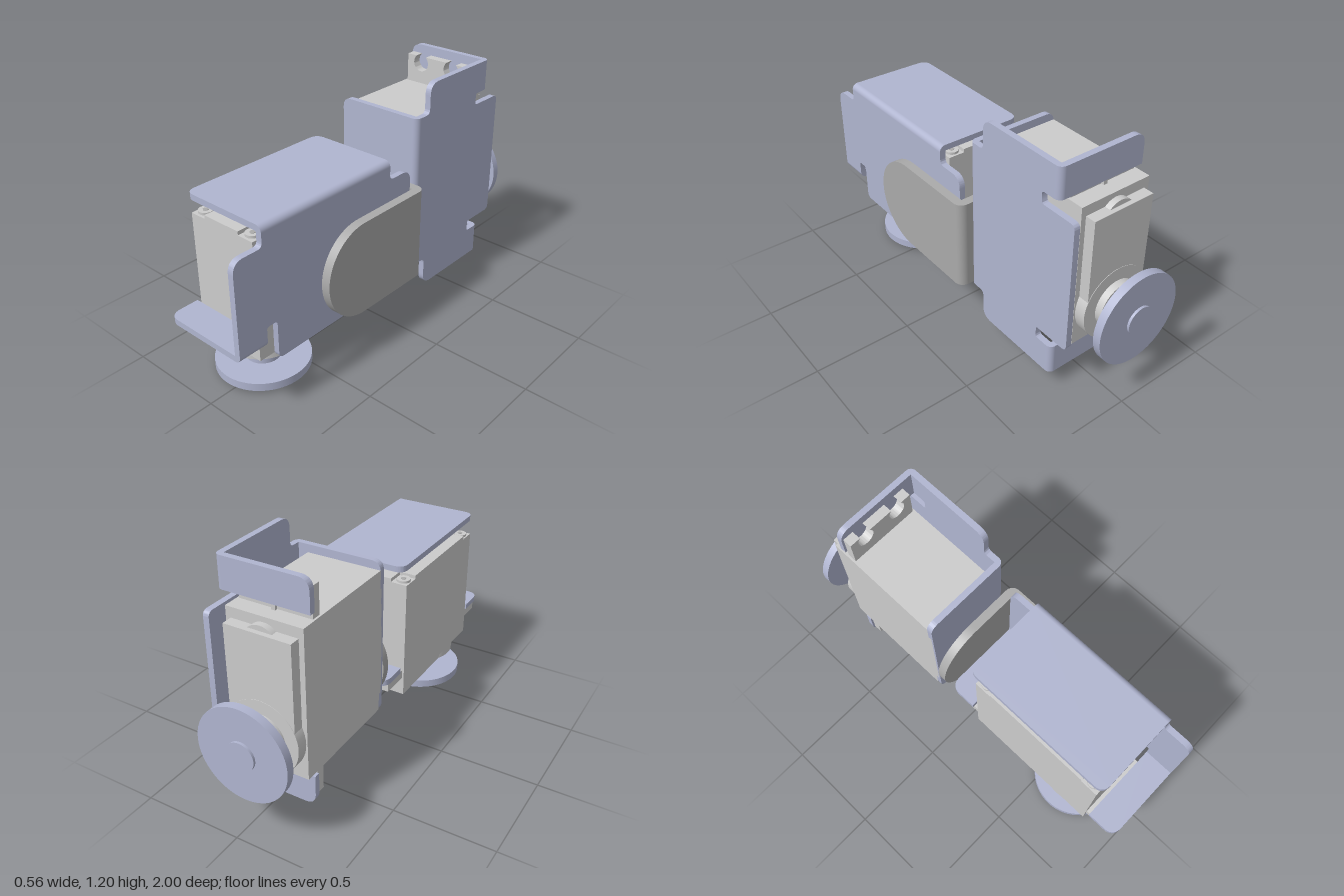
import * as THREE from 'three';
import { toCreasedNormals } from 'three/addons/utils/BufferGeometryUtils.js';

const material = (name, color) => Object.assign(new THREE.MeshStandardMaterial({ color }), { name });

export function createModel() {
  const blue = material('lavenderMetal', 0xb0b5d0);
  const light = material('lightGrey', 0xcccccc);
  const grey = material('midGrey', 0xaaaaaa);

  const add = (parent, name, geometry, mat) => {
    const mesh = new THREE.Mesh(geometry, mat);
    mesh.name = name;
    parent.add(mesh);
    return mesh;
  };
  // Box given by its limits
  const box = (x0, x1, y0, y1, z0, z1) => new THREE.BoxGeometry(x1 - x0, y1 - y0, z1 - z0)
    .translate((x0 + x1) / 2, (y0 + y1) / 2, (z0 + z1) / 2);
  // Upright disc between two heights
  const disc = (x, z, r, y0, y1, sides = 48) =>
    new THREE.CylinderGeometry(r, r, y1 - y0, sides).translate(x, (y0 + y1) / 2, z);
  // Polygon whose corners [x, y, radius] are rounded
  const rounded = (pts) => {
    const shape = new THREE.Shape();
    pts.forEach(([x, y, r = 0], i) => {
      const toward = (q) => {
        const d = Math.hypot(q[0] - x, q[1] - y);
        return [x + (q[0] - x) * r / d, y + (q[1] - y) * r / d];
      };
      const a = toward(pts[(i + pts.length - 1) % pts.length]);
      const b = toward(pts[(i + 1) % pts.length]);
      if (i === 0) shape.moveTo(...a); else shape.lineTo(...a);
      if (r) shape.quadraticCurveTo(x, y, ...b);
    });
    return shape;
  };
  const extrude = (shape, depth) => toCreasedNormals(
    new THREE.ExtrudeGeometry(shape, { depth, bevelEnabled: false, curveSegments: 24 }), 0.6);
  // Sheets lying flat (shape is x, -z) or standing sideways (shape is -z, y)
  const flat = (shape, y0, y1) => extrude(shape, y1 - y0).rotateX(-Math.PI / 2).translate(0, y0, 0);
  const side = (shape, x0, x1) => extrude(shape, x1 - x0).rotateY(Math.PI / 2).translate(x0, 0, 0);
  // Quarter round for a folded edge
  const fold = (r, length, start) =>
    new THREE.CylinderGeometry(r, r, length, 10, 1, false, start, Math.PI / 2);

  // Folded sheet bracket: side wall, one long flange, two short flanges
  function makeBracket() {
    const g = new THREE.Group();
    g.name = 'bracket';
    const wall = rounded([
      [-1.0, 0.37], [-0.845, 0.37], [-0.845, 0.44, 0.015], [-0.785, 0.44, 0.015],
      [-0.785, 0.245, 0.03], [-0.115, 0.245, 0.03], [-0.115, 0.44, 0.015], [-0.055, 0.44, 0.015],
      [-0.055, 0.37], [0.1, 0.37], [0.1, 0.825, 0.06], [-0.05, 0.825, 0.025],
      [-0.05, 0.89], [-0.845, 0.89], [-0.845, 0.825, 0.025], [-1.0, 0.825, 0.06],
    ]);
    add(g, 'sideWall', side(wall, 0.2, 0.23), blue);
    const flange = (name, z0, z1, y0, r0, r1) => add(g, name,
      flat(rounded([[-0.23, -z1, r1], [0.2, -z1], [0.2, -z0], [-0.23, -z0, r0]]), y0, y0 + 0.03), blue);
    const bend = (name, z0, z1, y, start) => add(g, name,
      fold(0.03, z1 - z0, start).rotateX(Math.PI / 2).translate(0.2, y, (z0 + z1) / 2), blue);
    flange('longFlange', 0.05, 0.845, 0.89, 0.05, 0.05);
    bend('longFold', 0.05, 0.845, 0.89, Math.PI / 2);
    flange('frontFlange', 0.845, 1.0, 0.34, 0, 0.06);
    bend('frontFold', 0.845, 1.0, 0.37, 0);
    flange('backFlange', -0.1, 0.055, 0.34, 0.06, 0);
    bend('backFold', -0.1, 0.055, 0.37, 0);
    return g;
  }

  // Mounting tabs with an open screw hole at each corner
  function earShape() {
    const s = new THREE.Shape();
    const cx = -0.04, mid = -0.4525, half = 0.5075, holeAt = 0.4725, r = 0.045, neck = 0.03;
    const a = Math.acos(neck / r);
    s.moveTo(cx - 0.18, mid - half);
    for (const dx of [-0.095, 0.095]) {
      s.lineTo(cx + dx - neck, mid - half);
      s.absarc(cx + dx, mid - holeAt, r, Math.PI + a, -a, true);
      s.lineTo(cx + dx + neck, mid - half);
    }
    s.lineTo(cx + 0.18, mid - half);
    s.lineTo(cx + 0.18, mid + half);
    for (const dx of [0.095, -0.095]) {
      s.lineTo(cx + dx + neck, mid + half);
      s.absarc(cx + dx, mid + holeAt, r, a, Math.PI - a, true);
      s.lineTo(cx + dx - neck, mid + half);
    }
    s.lineTo(cx - 0.18, mid + half);
    return s;
  }

  // Servo motor with its round output horn pointing down
  function makeServo() {
    const g = new THREE.Group();
    g.name = 'servo';
    add(g, 'body', box(-0.23, 0.15, 0.21, 0.81, 0.09, 0.825), light);
    add(g, 'lidLong', box(-0.145, 0.065, 0.81, 0.828, 0.09, 0.825), light);
    add(g, 'lidWide', box(-0.23, 0.15, 0.81, 0.827, 0.18, 0.735), light);
    for (const x of [-0.19, 0.105]) for (const z of [0.135, 0.78]) {
      add(g, 'screw', disc(x, z, 0.034, 0.81, 0.822, 24), light);
      add(g, 'screwSocket', disc(x, z, 0.014, 0.822, 0.824, 6), grey);
    }
    add(g, 'mountingTabs', flat(earShape(), 0.29, 0.337), light);
    for (const [z0, z1] of [[0.825, 0.9], [0.015, 0.09]])
      add(g, 'tabRib', box(-0.05, -0.03, 0.275, 0.29, z0, z1), light);

    // Gear cover and stepped collar around the shaft
    add(g, 'gearCover', box(-0.205, 0.125, 0.157, 0.21, 0.14, 0.64), light);
    add(g, 'gearCoverRound', disc(-0.04, 0.64, 0.183, 0.155, 0.21), light);
    add(g, 'gearBoss', disc(-0.04, 0.2, 0.085, 0.18, 0.21), light);
    add(g, 'collar', disc(-0.04, 0.64, 0.118, 0.12, 0.155), light);
    add(g, 'bearing', disc(-0.04, 0.64, 0.093, 0.11, 0.12), light);
    add(g, 'shaft', disc(-0.04, 0.64, 0.05, 0.095, 0.11, 24), light);

    // Horn
    add(g, 'hornHub', disc(-0.04, 0.64, 0.085, 0.05, 0.1), blue);
    add(g, 'hornDisc', disc(-0.04, 0.64, 0.228, 0.012, 0.052, 64), blue);
    add(g, 'hornCap', disc(-0.04, 0.64, 0.07, 0, 0.012), blue);
    return g;
  }

  // Angle link between the two brackets, round at both ends
  function makeLink() {
    const g = new THREE.Group();
    g.name = 'angleLink';
    const y = 0.481, r = 0.236;
    const arm = new THREE.Shape();
    arm.moveTo(0.115, y - r);
    arm.lineTo(0.115, y + r);
    arm.lineTo(-0.28, y + r);
    arm.absarc(-0.28, y, r, Math.PI / 2, Math.PI * 1.5, false);
    add(g, 'linkArm', side(arm, 0.233, 0.278), grey);
    const foot = new THREE.Shape();
    foot.moveTo(0.233, y - r);
    foot.lineTo(0.233, y + r);
    foot.lineTo(-0.014, y + r);
    foot.absarc(-0.014, y, r, Math.PI / 2, Math.PI * 1.5, false);
    add(g, 'linkFoot', extrude(foot, 0.045).translate(0, 0, -0.16), grey);
    add(g, 'linkFold', fold(0.045, r * 2, Math.PI / 2).translate(0.233, y, -0.115), grey);
    return g;
  }

  const model = new THREE.Group();
  model.name = 'servoJoint';
  model.add(makeBracket(), makeServo(), makeLink());

  // Rear unit is the same pair turned to point backwards
  const rearBracket = makeBracket(), rearServo = makeServo();
  rearBracket.name = 'rearBracket';
  rearServo.name = 'rearServo';
  for (const [part, z] of [[rearBracket, -1.082], [rearServo, -1.0]]) {
    part.rotation.x = Math.PI / 2;
    part.position.set(-0.014, 1.1, z);
    model.add(part);
  }
  return model;
}
